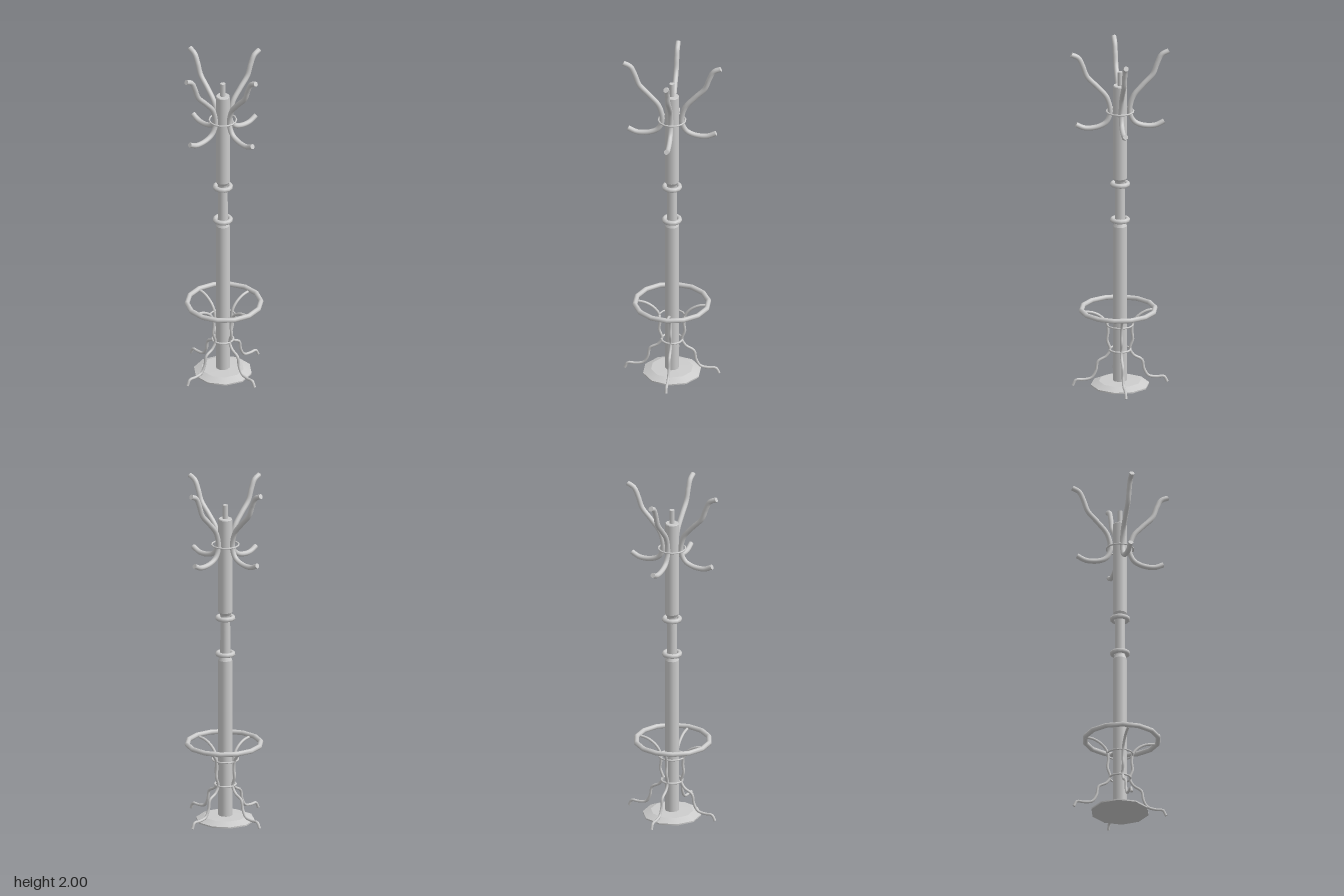
import * as THREE from 'three';

const material = new THREE.MeshStandardMaterial({ color: 0xcccccc });

function add(parent, name, geometry, y = 0) {
  const mesh = new THREE.Mesh(geometry, material);
  mesh.name = name;
  mesh.position.y = y;
  parent.add(mesh);
  return mesh;
}

// Turned part: each run of [radius, y] pairs is a stack of crisp bands
function turned(parent, name, pairs, sides) {
  const group = new THREE.Group();
  group.name = name;
  for (let i = 0; i < pairs.length - 1; i++) {
    const points = [pairs[i], pairs[i + 1]].map(([r, y]) => new THREE.Vector2(r, y));
    // start a quarter turn round so that a corner lies on the x axis
    add(group, name + 'Band', new THREE.LatheGeometry(points, sides, Math.PI / 2));
  }
  parent.add(group);
}

function hoop(parent, name, radius, tube, y, sides) {
  const geometry = new THREE.TorusGeometry(radius, tube, 8, sides);
  geometry.rotateX(Math.PI / 2);
  return add(parent, name, geometry, y);
}

// Bent rod with closed ends, its path drawn in the x-y plane
function bentRod(name, path, radius, segments, sides) {
  const group = new THREE.Group();
  group.name = name;
  const curve = new THREE.CatmullRomCurve3(path.map(([x, y]) => new THREE.Vector3(x, y, 0)));
  add(group, name + 'Rod', new THREE.TubeGeometry(curve, segments, radius, sides));
  for (const t of [0, 1]) {
    const cap = add(group, name + 'End', new THREE.CircleGeometry(radius, sides));
    const end = curve.getPointAt(t);
    cap.position.copy(end);
    cap.lookAt(end.clone().addScaledVector(curve.getTangentAt(t), t ? 1 : -1));
  }
  return group;
}

export function createModel() {
  const model = new THREE.Group();
  model.name = 'coatStand';

  // Shallow faceted foot plate
  turned(model, 'base', [[0, 0], [0.166, 0], [0.166, 0.008], [0.12, 0.027], [0, 0.03]], 10);

  // Pole with a narrower waist
  turned(model, 'pole', [
    [0.04, 0.02], [0.04, 0.95], [0.029, 0.975], [0.028, 1.21],
    [0.03, 1.218], [0.04, 1.235], [0.04, 1.785], [0.037, 1.79], [0, 1.79],
  ], 10);
  add(model, 'finial', new THREE.CylinderGeometry(0.015, 0.015, 0.09, 10), 1.825);

  // Collars at both ends of the waist
  for (const y of [0.987, 1.2]) hoop(model, 'collar', 0.044, 0.014, y, 12);

  // Umbrella hoop, slightly off centre
  hoop(model, 'umbrellaHoop', 0.209, 0.0145, 0.452, 14).position.x = 0.01;

  // Thin binding rings round arms and legs
  hoop(model, 'armRing', 0.077, 0.005, 1.635, 14);
  hoop(model, 'upperLegRing', 0.074, 0.005, 0.36, 14);
  hoop(model, 'lowerLegRing', 0.06, 0.006, 0.212, 14);

  const armPath = [
    [0.277, 1.984], [0.237, 1.964], [0.212, 1.915], [0.187, 1.85], [0.13, 1.788],
    [0.077, 1.725], [0.057, 1.66], [0.058, 1.615], [0.082, 1.57],
    [0.13, 1.547], [0.2, 1.544], [0.25, 1.566],
  ];
  const legPath = [
    [0.2, 0.445], [0.15, 0.436], [0.103, 0.408], [0.075, 0.37], [0.068, 0.32],
    [0.073, 0.27], [0.057, 0.215], [0.078, 0.175], [0.125, 0.145], [0.137, 0.09],
    [0.162, 0.05], [0.21, 0.04], [0.25, 0.04], [0.268, 0.008],
  ];

  // Four coat arms and four legs, one pair per quarter turn
  for (let i = 0; i < 4; i++) {
    const arm = bentRod('coatArm', armPath, 0.0145, 48, 10);
    const leg = bentRod('leg', legPath, 0.008, 56, 8);
    arm.rotation.y = leg.rotation.y = i * Math.PI / 2;
    model.add(arm, leg);
  }
  return model;
}
